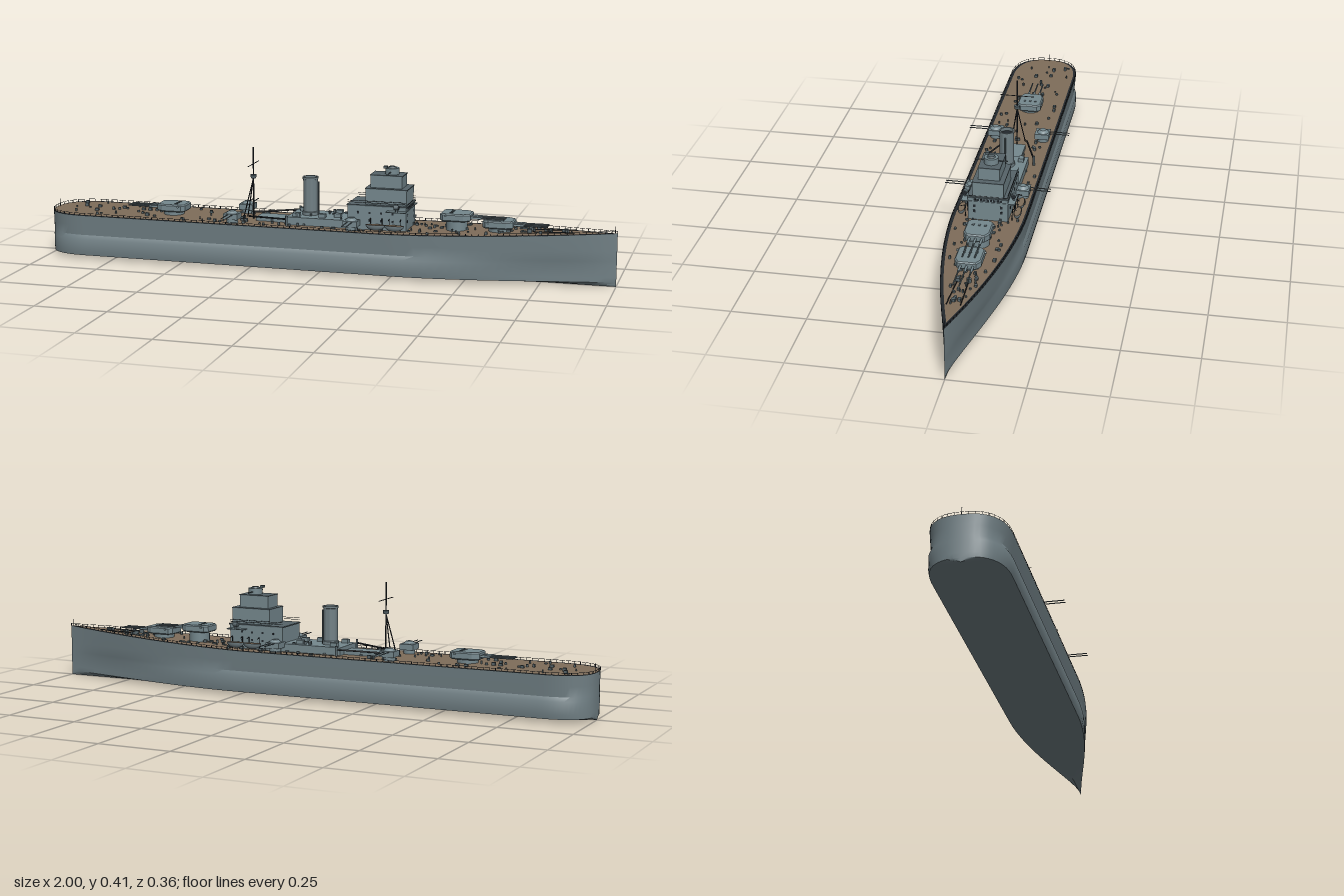
import * as THREE from 'three';
import { mergeGeometries, toCreasedNormals } from 'three/addons/utils/BufferGeometryUtils.js';

const mat = (name, color, side = THREE.FrontSide) => {
  const m = new THREE.MeshStandardMaterial({ color, side });
  m.name = name;
  return m;
};

// Deck half-width and deck height along the length (bow at +x)
function halfWidth(x) {
  if (x > 0.25) return 0.125 * (1 - Math.pow((x - 0.25) / 0.75, 1.8));
  if (x < -0.84) return 0.125 * Math.pow(Math.max(0, 1 - Math.pow((-0.84 - x) / 0.16, 2.5)), 1 / 2.5);
  return 0.125;
}
const deckY = (x) => 0.157 + 0.024 * Math.pow(Math.max(0, (x - 0.2) / 0.8), 1.3);

// Stations, packed closely around the stern curve
const stations = [];
for (let i = 0; i <= 14; i++) stations.push(-0.84 - 0.16 * Math.cos((i / 14) * Math.PI / 2));
for (let i = 1; i <= 50; i++) stations.push(-0.84 + 1.84 * i / 50);

// Joins rows of equal length into a surface
function loft(rows) {
  const n = rows[0].length, index = [];
  for (let i = 0; i < rows.length - 1; i++) for (let j = 0; j < n - 1; j++) {
    const a = i * n + j, b = a + n;
    index.push(a, b, a + 1, b, b + 1, a + 1);
  }
  const g = new THREE.BufferGeometry();
  g.setAttribute('position', new THREE.Float32BufferAttribute(rows.flat(2), 3));
  g.setIndex(index);
  g.computeVertexNormals();
  return g;
}

// Hull section from one deck edge around the keel to the other, with a side bulge
function hullRow(x) {
  const w = halfWidth(x), s = Math.max(0, (x - 0.25) / 0.75);
  const low = w * (1 - 0.4 * s * s), bulge = Math.max(0, 1 - 1.4 * s), top = deckY(x);
  const mid = THREE.MathUtils.lerp(low, w, 0.35) * (1 - 0.05 * bulge);
  const half = [[w, top], [(mid + w) / 2, 0.12], [mid, 0.086], [low * (1 + 0.01 * bulge), 0.072],
    [low * (1 + 0.01 * bulge), 0.03], [low * 0.985, 0.014], [low * 0.5, 0.006], [0, 0]];
  const other = half.slice(0, -1).reverse().map(([z, y]) => [-z, y]);
  return [...half, ...other].map(([z, y]) => [x, y, z]);
}

export function createModel() {
  const root = new THREE.Group();
  root.name = 'warship';
  const hullGrey = mat('hull grey', 0x718085, THREE.DoubleSide);
  const grey = mat('superstructure grey', 0x75888e);
  const wood = mat('deck wood', 0x7f6d5a, THREE.DoubleSide);
  const dark = mat('dark metal', 0x23282d, THREE.DoubleSide);
  const fitting = mat('fitting grey', 0x566469);

  const add = (geo, m, name, x = 0, y = 0, z = 0, parent = root) => {
    const mesh = new THREE.Mesh(geo, m);
    mesh.name = name;
    mesh.position.set(x, y, z);
    parent.add(mesh);
    return mesh;
  };
  // Box given by its x, y and z limits
  const block = (name, x0, x1, y0, y1, z0, z1, m = grey, parent = root) =>
    add(new THREE.BoxGeometry(x1 - x0, y1 - y0, z1 - z0), m, name, (x0 + x1) / 2, (y0 + y1) / 2, (z0 + z1) / 2, parent);
  const drum = (name, x, y0, y1, z, r0, r1 = r0, m = grey, parent = root, sides = 24) =>
    add(new THREE.CylinderGeometry(r1, r0, y1 - y0, sides), m, name, x, (y0 + y1) / 2, z, parent);
  // Round bar between two points
  const bar = (name, a, b, r, m = dark, parent = root) => {
    const p = new THREE.Vector3(...a), q = new THREE.Vector3(...b);
    const mesh = add(new THREE.CylinderGeometry(r, r, p.distanceTo(q), 8), m, name, 0, 0, 0, parent);
    mesh.position.copy(p).add(q).multiplyScalar(0.5);
    mesh.quaternion.setFromUnitVectors(new THREE.Vector3(0, 1, 0), q.sub(p).normalize());
    return mesh;
  };

  // Hull and deck
  add(toCreasedNormals(loft(stations.map(hullRow)), 0.5), hullGrey, 'hull');
  const inner = (x) => Math.max(0, halfWidth(x) - 0.011);
  add(loft(stations.map((x) => [[x, deckY(x), -inner(x)], [x, deckY(x), inner(x)]])), wood, 'deck');
  for (const s of [1, -1]) {
    add(loft(stations.map((x) => [[x, deckY(x), s * inner(x)], [x, deckY(x), s * halfWidth(x)]])), dark, 'waterway');
    // Guard rail with posts
    const edge = stations.map((x) => new THREE.Vector3(x, deckY(x) + 0.008, s * halfWidth(x) * 0.985));
    const curve = new THREE.CatmullRomCurve3(edge);
    add(new THREE.TubeGeometry(curve, 160, 0.0007, 4), dark, 'guardRail');
    const posts = curve.getSpacedPoints(100).map((p) =>
      new THREE.BoxGeometry(0.0016, 0.009, 0.0016).translate(p.x, p.y - 0.004, p.z));
    add(mergeGeometries(posts), dark, 'railPosts');
    // Hawse pipe near the bow
    block('hawsePipe', 0.85, 0.858, 0.156, 0.166, s * 0.031 - 0.004, s * 0.031 + 0.004, dark);
    bar('anchorChain', [0.72, 0.174, s * 0.018], [0.86, 0.179, s * 0.022], 0.0018);
    drum('capstan', 0.71, 0.17, 0.183, s * 0.018, 0.008, 0.008, fitting);
  }
  bar('jackStaff', [0.992, 0.178, 0], [0.992, 0.205, 0], 0.001);

  // Main gun turrets
  function turret(x, base, dir) {
    const g = new THREE.Group();
    g.name = 'mainTurret';
    g.position.set(x, base, 0);
    if (dir < 0) g.rotation.y = Math.PI;
    root.add(g);
    drum('barbette', 0, deckY(x) - base - 0.003, 0.004, 0, 0.036, 0.036, grey, g);
    const plan = new THREE.Shape();
    [[-0.052, -0.03], [-0.04, -0.043], [0.03, -0.043], [0.052, -0.03], [0.052, 0.03], [0.03, 0.043], [-0.04, 0.043], [-0.052, 0.03]]
      .forEach(([a, b], i) => (i ? plan.lineTo(a, b) : plan.moveTo(a, b)));
    const house = new THREE.ExtrudeGeometry(plan, {
      depth: 0.018, bevelEnabled: true, bevelThickness: 0.004, bevelSize: 0.004, bevelOffset: -0.004, bevelSegments: 1 });
    add(house.rotateX(-Math.PI / 2), grey, 'gunhouse', 0, 0.006, 0, g);
    bar('rangefinder', [-0.03, 0.022, -0.048], [-0.03, 0.022, 0.048], 0.004, grey, g);
    for (const z of [-0.02, 0, 0.02]) {
      bar('gunSleeve', [0.045, 0.014, z], [0.085, 0.014, z], 0.0042, grey, g);
      bar('gunBarrel', [0.08, 0.014, z], [0.165, 0.014, z], 0.0027, fitting, g);
      block('roofHatch', -0.02, -0.01, 0.027, 0.03, z - 0.004, z + 0.004, fitting, g);
    }
  }
  turret(0.605, 0.178, 1);
  turret(0.46, 0.194, 1);
  turret(-0.555, 0.168, -1);

  // Twin side guns, boats, booms and searchlights on both sides
  for (const s of [1, -1]) {
    for (const x of [-0.31, 0.115]) {
      const g = new THREE.Group();
      g.name = 'secondaryMount';
      g.position.set(x, 0.157, s * 0.086);
      if (s < 0) g.rotation.y = Math.PI;
      root.add(g);
      drum('mountBase', 0, 0, 0.016, 0, 0.02, 0.02, grey, g);
      block('mountHouse', -0.025, 0.025, 0.014, 0.034, -0.027, 0.024, grey, g);
      drum('mountRoof', 0, 0.033, 0.043, 0, 0.022, 0.011, grey, g);
      for (const dx of [-0.008, 0.008]) bar('mountBarrel', [dx, 0.032, 0.02], [dx, 0.032, 0.095], 0.0018, fitting, g);
    }
    for (const x of [0.2, 0.265]) {
      const boat = add(new THREE.SphereGeometry(1, 20, 8, 0, Math.PI * 2, Math.PI / 2, Math.PI / 2), hullGrey, 'boatHull', x, 0.182, s * 0.094);
      boat.scale.set(0.034, 0.02, 0.013);
      const thwart = add(new THREE.CylinderGeometry(1, 1, 1, 20), wood, 'boatInterior', x, 0.181, s * 0.094);
      thwart.scale.set(0.031, 0.002, 0.011);
      for (const dx of [-0.02, 0.02]) {
        bar('davit', [x + dx, 0.157, s * 0.078], [x + dx, 0.2, s * 0.08], 0.0015);
        bar('davitArm', [x + dx, 0.2, s * 0.08], [x + dx, 0.197, s * 0.094], 0.0015);
      }
    }
    bar('boom', [-0.265, 0.172, s * 0.035], [-0.115, 0.18, s * 0.085], 0.003);
    drum('boomPost', -0.115, 0.157, 0.192, s * 0.085, 0.004, 0.004, fitting);
    drum('searchlightStand', 0.27, 0.226, 0.236, s * 0.082, 0.004, 0.004, fitting);
    const lamp = drum('searchlight', 0.27, 0.234, 0.25, s * 0.082, 0.008, 0.008, fitting);
    lamp.rotation.z = Math.PI / 2;
    lamp.position.y = 0.242;
    add(new THREE.CircleGeometry(0.0065, 16).rotateY(Math.PI / 2), dark, 'searchlightGlass', 0.2785, 0.242, s * 0.082);
    for (const x of [0.13, 0.17, 0.21, 0.25]) for (const y of [0.185, 0.212])
      block('porthole', x, x + 0.007, y, y + 0.007, s * 0.0675 - 0.001, s * 0.0675 + 0.001, dark);
  }

  // Deckhouse and stepped bridge tower
  block('midDeckhouse', -0.12, 0.11, 0.155, 0.184, -0.066, 0.066);
  block('aftDeckhouse', -0.24, -0.12, 0.155, 0.17, -0.035, 0.035);
  block('bridgeBase', 0.097, 0.3, 0.155, 0.238, -0.067, 0.067);
  block('bridgeWing', 0.235, 0.302, 0.224, 0.227, -0.09, 0.09);
  block('bridgeBaseRoof', 0.094, 0.303, 0.238, 0.242, -0.069, 0.069, fitting);
  block('lowerBridge', 0.155, 0.298, 0.24, 0.294, -0.052, 0.052);
  block('lowerBridgeRoof', 0.153, 0.3, 0.294, 0.297, -0.053, 0.053, fitting);
  block('upperBridge', 0.168, 0.278, 0.296, 0.339, -0.036, 0.036);
  block('upperBridgeRoof', 0.166, 0.28, 0.338, 0.341, -0.037, 0.037, fitting);
  drum('directorTower', 0.235, 0.34, 0.362, 0, 0.024);
  drum('directorCap', 0.235, 0.362, 0.367, 0, 0.014, 0.011, fitting);
  bar('directorRangefinder', [0.235, 0.35, -0.055], [0.235, 0.35, 0.055], 0.002, fitting);
  block('directorSight', 0.21, 0.222, 0.362, 0.37, 0.01, 0.022, fitting);
  for (let i = -4; i <= 4; i++) {
    block('bridgeWindow', 0.299, 0.301, 0.229, 0.236, i * 0.011 - 0.004, i * 0.011 + 0.004, dark);
  }
  for (const z of [-0.045, 0.045]) for (const y of [0.185, 0.205])
    block('bridgePort', 0.299, 0.301, y, y + 0.009, z - 0.004, z + 0.004, dark);
  for (const y of [0.25, 0.256]) {
    bar('platformRail', [0.3, y - 0.01, -0.069], [0.3, y - 0.01, 0.069], 0.0009);
    for (const z of [-0.067, 0.067]) bar('platformRail', [0.097, y, z], [0.3, y, z], 0.0008);
  }

  // Funnel with an open top
  const funnel = new THREE.LatheGeometry([[0.028, 0.18], [0.028, 0.195], [0.025, 0.197], [0.025, 0.308], [0.027, 0.309], [0.027, 0.316], [0.022, 0.316], [0.022, 0.302]]
    .map(([r, y]) => new THREE.Vector2(r, y)), 28);
  add(toCreasedNormals(funnel, 0.6), hullGrey, 'funnel', -0.054);
  drum('funnelMouth', -0.054, 0.3, 0.304, 0, 0.022, 0.022, dark);
  bar('steamPipe', [-0.025, 0.184, 0], [-0.025, 0.3, 0], 0.003, fitting);

  // Tripod mast with yards and a lookout
  bar('mast', [-0.26, 0.157, 0], [-0.26, 0.408, 0], 0.0025);
  for (const z of [-0.025, 0.025]) bar('mastLeg', [-0.29, 0.157, z], [-0.26, 0.3, 0], 0.002);
  bar('yard', [-0.26, 0.35, -0.06], [-0.26, 0.35, 0.06], 0.0014);
  drum('lookout', -0.26, 0.3, 0.312, 0, 0.009, 0.011, fitting);
  bar('ensignStaff', [-0.992, 0.157, 0], [-0.992, 0.185, 0], 0.001);

  // Small deck fittings scattered by a seeded sequence
  let seed = 11;
  const rnd = () => (seed = (seed * 16807) % 2147483647) / 2147483647;
  const parts = [];
  for (let i = 0; i < 190; i++) {
    const x = -0.93 + rnd() * 1.78, z = (rnd() * 2 - 1) * Math.max(0, inner(x) - 0.012);
    const h = 0.004 + rnd() * 0.007, r = 0.003 + rnd() * 0.004;
    const onHouse = x > -0.115 && x < 0.09 && Math.abs(z) < 0.06;
    const g = i % 2 ? new THREE.BoxGeometry(r * 2, h, r * 1.6) : new THREE.CylinderGeometry(r * 0.8, r * 0.8, h, 8);
    parts.push(g.translate(x, (onHouse ? 0.184 : deckY(x)) + h / 2, z));
  }
  add(mergeGeometries(parts), fitting, 'deckFittings');
  for (const [x, z] of [[-0.09, 0.045], [0.0, 0.04], [0.04, -0.04], [-0.09, -0.045], [0.05, 0.02]])
    block('ventilator', x - 0.012, x + 0.012, 0.183, 0.197, z - 0.009, z + 0.009);
  return root;
}
